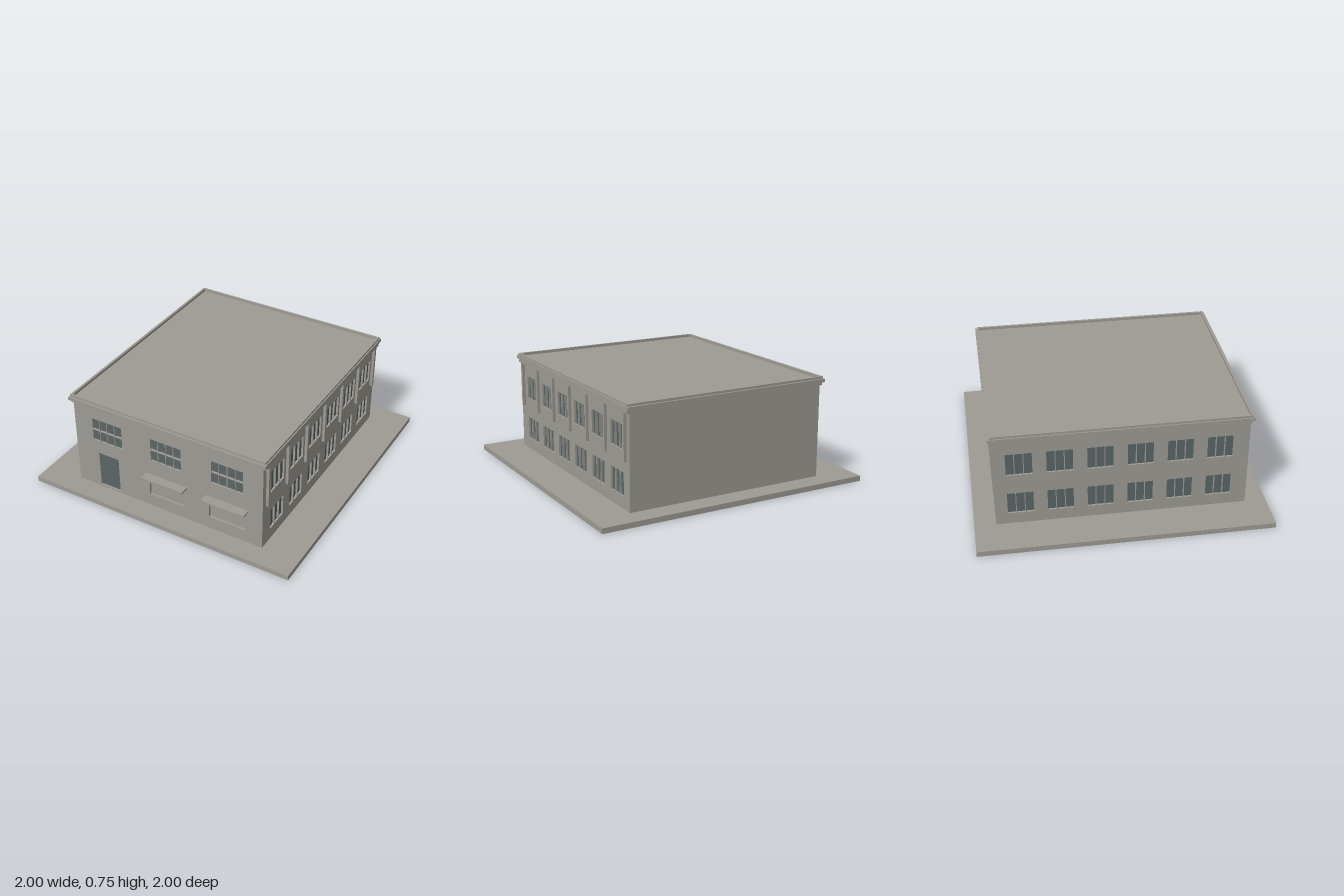
import * as THREE from 'three';

const wallMat = new THREE.MeshStandardMaterial({ color: 0x9d9b93 });
wallMat.name = 'concrete';
const glassMat = new THREE.MeshStandardMaterial({ color: 0x5a6666 });
glassMat.name = 'glass';

const X = 0.73, Z = 0.853;       // half width and half depth of the building
const BASE = 0.037, TOP = 0.71;  // wall bottom and top
const T = 0.016;                 // depth of window recesses

function add(parent, name, geometry, material, x = 0, y = 0, z = 0) {
  const mesh = new THREE.Mesh(geometry, material);
  mesh.name = name;
  mesh.position.set(x, y, z);
  parent.add(mesh);
  return mesh;
}

// Box given by its extents along each axis
function block(parent, name, [x0, x1], [y0, y1], [z0, z1], material = wallMat) {
  return add(parent, name, new THREE.BoxGeometry(x1 - x0, y1 - y0, z1 - z0), material,
    (x0 + x1) / 2, (y0 + y1) / 2, (z0 + z1) / 2);
}

// Rectangle outline with slightly softened corners
function outline(Type, [x0, x1, y0, y1], r = 0.004) {
  const p = new Type();
  p.moveTo(x0 + r, y0).lineTo(x1 - r, y0).quadraticCurveTo(x1, y0, x1, y0 + r);
  p.lineTo(x1, y1 - r).quadraticCurveTo(x1, y1, x1 - r, y1);
  p.lineTo(x0 + r, y1).quadraticCurveTo(x0, y1, x0, y1 - r);
  p.lineTo(x0, y0 + r).quadraticCurveTo(x0, y0, x0 + r, y0);
  return p;
}

// Row of narrow panes centred on u
function panes(u, count, y0, y1) {
  return Array.from({ length: count }, (_, i) => {
    const c = u + (i - (count - 1) / 2) * 0.0602;
    return [c - 0.0275, c + 0.0275, y0, y1];
  });
}

// Wall facing local +z, pierced by openings; glazed ones get a thin pane behind
function wall(parent, name, half, distance, glazed, blind = []) {
  const group = new THREE.Group();
  group.name = name;
  const shape = new THREE.Shape();
  shape.moveTo(-half, BASE).lineTo(half, BASE).lineTo(half, TOP).lineTo(-half, TOP).closePath();
  shape.holes = [...glazed, ...blind].map((r) => outline(THREE.Path, r));
  const geometry = new THREE.ExtrudeGeometry(shape, { depth: T, bevelEnabled: false, curveSegments: 3 });
  add(group, name + 'Panel', geometry, wallMat, 0, 0, distance - T);
  glazed.forEach(([x0, x1, y0, y1]) => block(group, 'windowPane',
    [x0, x1], [y0, y1], [distance - T - 0.002, distance - T + 0.002], glassMat));
  parent.add(group);
  return group;
}

// Flat rectangular ring around the roof edge
function ring(parent, name, x, z, y0, y1) {
  const shape = new THREE.Shape();
  shape.moveTo(-x, -z).lineTo(x, -z).lineTo(x, z).lineTo(-x, z).closePath();
  const hole = new THREE.Path();
  hole.moveTo(-X, -0.848).lineTo(-X, 0.848).lineTo(X, 0.848).lineTo(X, -0.848).closePath();
  shape.holes.push(hole);
  const geometry = new THREE.ExtrudeGeometry(shape, { depth: y1 - y0, bevelEnabled: false });
  geometry.rotateX(-Math.PI / 2);
  add(parent, name, geometry, wallMat, 0, y0, 0);
}

export function createModel() {
  const model = new THREE.Group();
  model.name = 'building';

  // Ground slab, solid core with plain back wall, and sunken roof
  block(model, 'groundSlab', [-1, 1], [0, BASE], [-1, 1]);
  block(model, 'core', [-X + T, X - T], [BASE, TOP], [-Z, Z - T]);
  block(model, 'roof', [-X, X], [TOP - 0.005, 0.727], [-0.848, 0.848]);

  // Front wall: three upper windows, door and two blind shop openings
  const upper = [-0.467, 0, 0.467].flatMap((u) =>
    [...panes(u, 4, 0.517, 0.603), ...panes(u, 4, 0.426, 0.511)]);
  const door = [-0.55, -0.388, 0.05, 0.324];
  const shops = [0, 0.467].map((u) => [u - 0.138, u + 0.138, 0.131, 0.281]);
  wall(model, 'frontWall', X, Z, [...upper, door], shops);
  for (const u of [0, 0.466]) {
    block(model, 'canopy', [u - 0.16, u + 0.16], [0.295, 0.308], [Z - 0.005, 0.918]);
  }

  // Side walls: six bays of windows on two floors
  for (const side of [1, -1]) {
    const glazed = [];
    for (let i = 0; i < 6; i++) {
      const u = side * (-0.657 + i * 0.268);
      glazed.push(...panes(u, 3, 0.426, 0.592), ...panes(u, 3, 0.12, 0.281));
    }
    const name = side > 0 ? 'leftWall' : 'rightWall';
    const group = wall(model, name, Z - T, X, glazed);
    // Square off the rear corner, then add frieze and pilasters
    block(group, 'rearCorner', side > 0 ? [Z - T, Z] : [-Z, -Z + T], [BASE, TOP], [X - T, X]);
    block(group, 'frieze', [-Z, Z], [0.683, TOP], [X - 0.004, 0.75]);
    for (let i = -3; i <= 3; i++) {
      const u = i * 0.2675;
      block(group, 'pilaster', [u - 0.011, u + 0.011], [0.361, 0.683], [X - 0.004, 0.75]);
    }
    group.rotation.y = side * Math.PI / 2;
  }

  // Stepped cornice and parapet cap
  ring(model, 'cornice', 0.755, 0.876, 0.708, 0.731);
  ring(model, 'parapetCap', 0.747, 0.862, 0.731, 0.747);
  return model;
}
